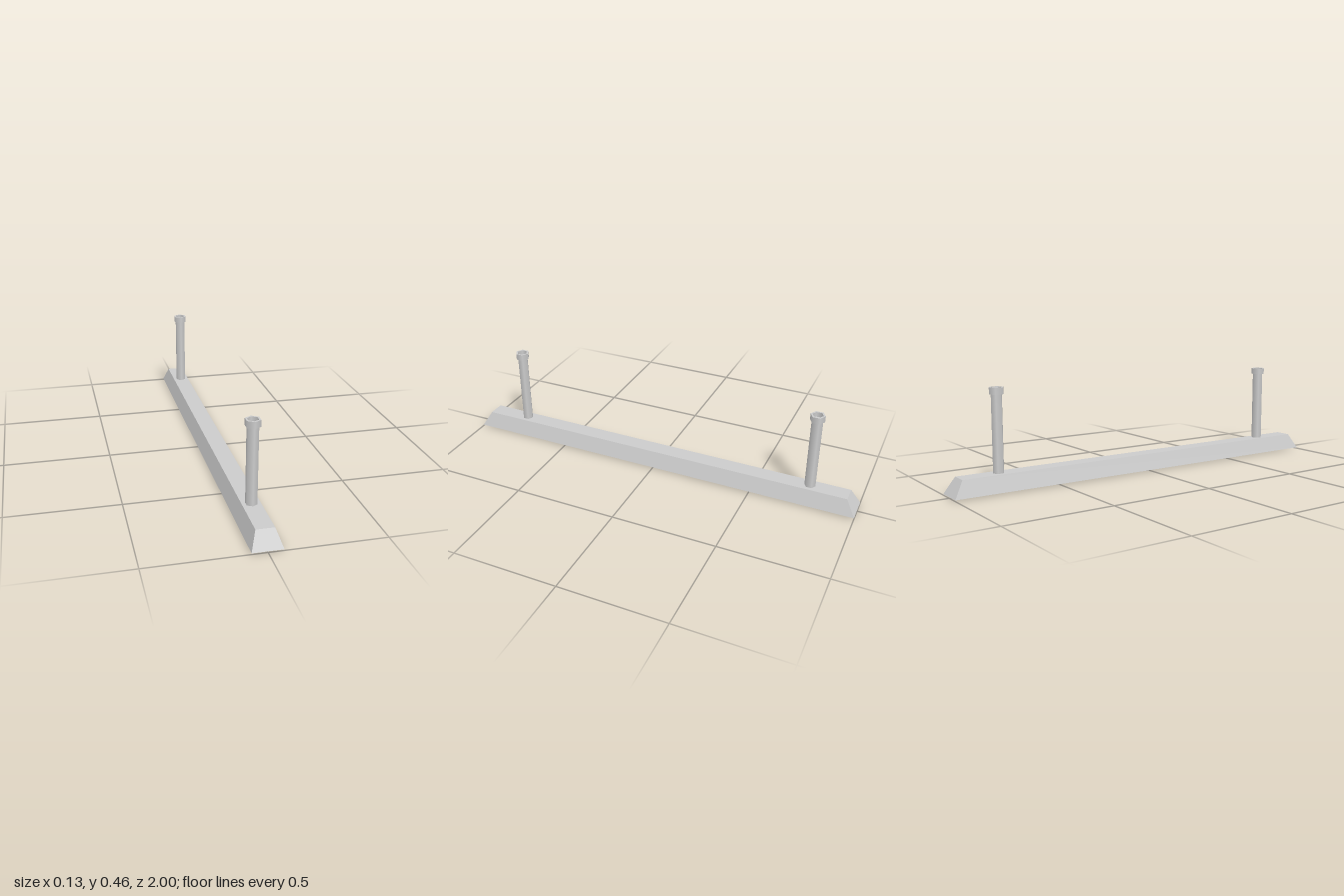
import * as THREE from 'three';
import { mergeGeometries } from 'three/addons/utils/BufferGeometryUtils.js';

const grey = new THREE.MeshStandardMaterial({ color: 0xcccccc });
const flatGrey = new THREE.MeshStandardMaterial({ color: 0xcccccc, flatShading: true });

// Six-sided turned part: smooth around, sharp at every profile corner
function turned(profile) {
  const bands = [];
  for (let i = 0; i < profile.length - 1; i++) {
    const pair = [profile[i], profile[i + 1]].map(([r, y]) => new THREE.Vector2(r, y));
    bands.push(new THREE.LatheGeometry(pair, 6));
  }
  return mergeGeometries(bands);
}

// Skin through a chain of rectangular rings [halfX, y, halfZ]
function rectangularLoft(rings) {
  const signs = [[1, 1], [1, -1], [-1, -1], [-1, 1]];
  const corner = ([hx, y, hz], i) => [signs[i % 4][0] * hx, y, signs[i % 4][1] * hz];
  const positions = [];
  for (let r = 0; r < rings.length - 1; r++) {
    for (let i = 0; i < 4; i++) {
      const a = corner(rings[r], i), b = corner(rings[r], i + 1);
      const c = corner(rings[r + 1], i), d = corner(rings[r + 1], i + 1);
      positions.push(...a, ...c, ...d, ...a, ...d, ...b);
    }
  }
  const geometry = new THREE.BufferGeometry();
  geometry.setAttribute('position', new THREE.Float32BufferAttribute(positions, 3));
  geometry.computeVertexNormals();
  return geometry;
}

export function createModel() {
  const group = new THREE.Group();
  const add = (name, geometry, material, x, y, z) => {
    const mesh = new THREE.Mesh(geometry, material);
    mesh.name = name;
    mesh.position.set(x, y, z);
    group.add(mesh);
    return mesh;
  };

  // Tapered housing with a long recess in its underside
  add('housing', rectangularLoft([
    [0, 0.08, 0.9],
    [0.04, 0.08, 0.955],
    [0.066, 0.005, 1],
    [0.041, 0.005, 0.968],
    [0.041, 0.036, 0.968],
    [0, 0.036, 0.9],
  ]), flatGrey, 0, 0, 0);

  // Hanging posts, each with an open collar on top
  const post = turned([[0.026, 0.075], [0.026, 0.43]]);
  const collar = turned([
    [0.02, 0.425], [0.034, 0.425], [0.034, 0.455],
    [0.025, 0.455], [0.025, 0.432], [0, 0.432],
  ]);
  for (const [side, z] of [['front', 0.752], ['back', -0.772]]) {
    add(side + 'Post', post, grey, 0, 0, z);
    add(side + 'Collar', collar, grey, 0, 0, z);
  }

  // Light tube held between two sockets, one corner pointing down
  const tube = new THREE.CylinderGeometry(0.013, 0.013, 1.86, 6).rotateX(Math.PI / 2);
  add('lightTube', tube, grey, 0, 0.018, 0);
  const socket = new THREE.CylinderGeometry(0.018, 0.018, 0.045, 6).rotateX(Math.PI / 2);
  for (const s of [1, -1]) {
    add(s > 0 ? 'frontSocket' : 'backSocket', socket, grey, 0, 0.018, s * 0.943);
  }

  return group;
}
